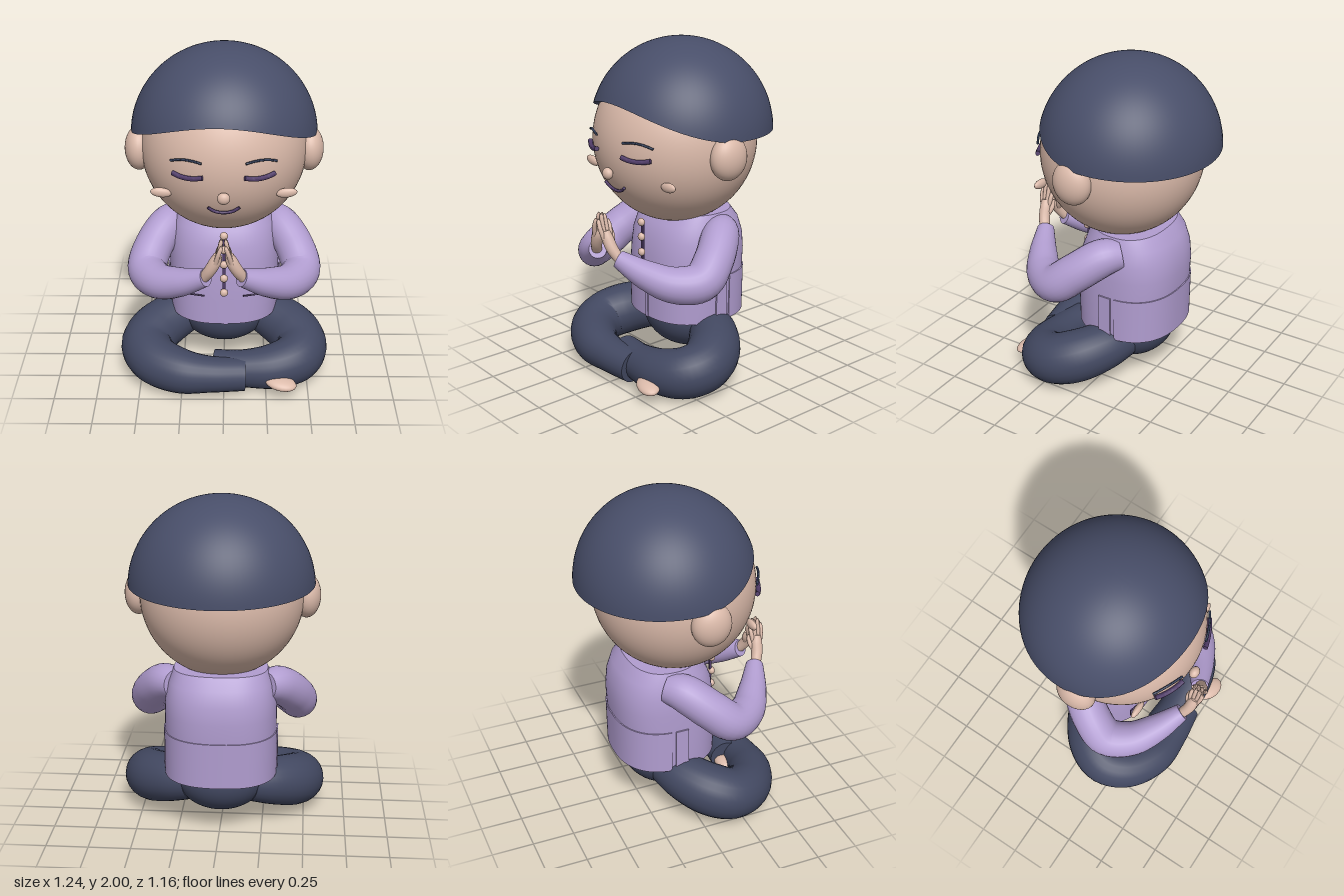
import * as THREE from 'three';
import { toCreasedNormals } from 'three/addons/utils/BufferGeometryUtils.js';

const mat = (name, color, side = THREE.FrontSide) => {
  const m = new THREE.MeshStandardMaterial({ color, side });
  m.name = name;
  return m;
};
const V = (x, y, z) => new THREE.Vector3(x, y, z);

// Skin a list of equal-length rings; closed lofts get end caps.
function loft(rings, closed = true) {
  const n = rings[0].length, pos = [], idx = [];
  rings.forEach(r => r.forEach(p => pos.push(p.x, p.y, p.z)));
  for (let i = 0; i < rings.length - 1; i++) {
    for (let j = 0; j < (closed ? n : n - 1); j++) {
      const k = (j + 1) % n, a = i * n + j, b = i * n + k;
      idx.push(a, b, b + n, a, b + n, a + n);
    }
  }
  if (closed) {
    [0, rings.length - 1].forEach((i, end) => {
      const c = rings[i].reduce((s, p) => s.add(p), V(0, 0, 0)).divideScalar(n);
      const ci = pos.length / 3;
      pos.push(c.x, c.y, c.z);
      for (let j = 0; j < n; j++) {
        const a = i * n + j, b = i * n + (j + 1) % n;
        end ? idx.push(ci, a, b) : idx.push(ci, b, a);
      }
    });
  }
  const g = new THREE.BufferGeometry();
  g.setAttribute('position', new THREE.Float32BufferAttribute(pos, 3));
  g.setIndex(idx);
  return toCreasedNormals(g, 0.9);
}

// Tube through points [x, y, z, radius].
function limb(points, steps = 32, sides = 24) {
  const curve = new THREE.CatmullRomCurve3(points.map(p => V(p[0], p[1], p[2])));
  const radius = new THREE.CatmullRomCurve3(points.map(p => V(p[3], 0, 0)), false, 'catmullrom');
  const frames = curve.computeFrenetFrames(steps);
  const rings = [];
  for (let i = 0; i <= steps; i++) {
    const t = curve.getUtoTmapping(i / steps), c = curve.getPoint(t), r = radius.getPoint(t).x;
    rings.push(Array.from({ length: sides }, (_, j) => {
      const a = j / sides * Math.PI * 2;
      return c.clone().addScaledVector(frames.normals[i], Math.cos(a) * r)
        .addScaledVector(frames.binormals[i], Math.sin(a) * r);
    }));
  }
  return loft(rings);
}

const HEAD = { y: 1.42, rx: 0.48, ry: 0.49, rz: 0.475 };
const faceZ = (x, y) =>
  HEAD.rz * Math.sqrt(1 - (x / HEAD.rx) ** 2 - ((y - HEAD.y) / HEAD.ry) ** 2);

export function createModel() {
  const root = new THREE.Group();
  root.name = 'meditatingFigure';
  const skin = mat('skin', 0xdbbaaa);
  const hair = mat('hair navy', 0x484e69);
  const trousers = mat('trouser navy', 0x424861);
  const shirt = mat('shirt lavender', 0xb19dd0, THREE.DoubleSide);
  const plum = mat('plum trim', 0x503c68);
  const browNavy = mat('brow navy', 0x35415c);

  const add = (name, geo, material, parent = root) => {
    const m = new THREE.Mesh(geo, material);
    m.name = name;
    parent.add(m);
    return m;
  };
  const ball = (name, p, r, material, seg = 32) => {
    const m = add(name, new THREE.SphereGeometry(1, seg, seg * 0.75), material);
    m.position.set(...p);
    m.scale.set(...r);
    return m;
  };
  const box = (name, size, p, material) => {
    const m = add(name, new THREE.BoxGeometry(...size), material);
    m.position.set(...p);
    return m;
  };
  const bar = (name, a, b, r, material) => add(name, limb([[...a, r], [...b, r]], 2, 8), material);

  // Head
  ball('head', [0, HEAD.y, 0], [HEAD.rx, HEAD.ry, HEAD.rz], skin, 64);
  ball('nose', [0, 1.29, 0.487], [0.036, 0.034, 0.028], skin, 20);

  // Cap of hair with a swept fringe
  const hairRings = [];
  for (let i = 0; i <= 28; i++) {
    hairRings.push(Array.from({ length: 72 }, (_, j) => {
      const a = j / 72 * Math.PI * 2, c = Math.cos(a + 0.05);
      const rim = 1.497 + 0.022 * c + 0.155 * Math.max(0, c) ** 2;
      const low = Math.asin((rim - 1.47) / 0.53);
      const lat = low + (Math.PI / 2 - 0.015 - low) * i / 28;
      const r = Math.cos(lat);
      return V(0.54 * r * Math.sin(a), 1.47 + 0.53 * Math.sin(lat), -0.05 + 0.525 * r * Math.cos(a));
    }));
  }
  add('hair', loft(hairRings), hair);

  // Face lines follow the head surface
  const faceLine = (name, pts, r, material) =>
    add(name, limb(pts.map(([x, y]) => [x, y, faceZ(x, y) + 0.016, r]), 16, 10), material);
  faceLine('mouth', [[-0.087, 1.215], [-0.05, 1.19], [0, 1.18], [0.05, 1.19], [0.087, 1.215]], 0.009, plum);

  // Shirt body from rounded cross-sections: y, half width, centre z, half depth
  const section = (a, [y, rx, zc, rz]) => {
    const s = Math.sin(a), c = Math.cos(a), e = 0.82;
    return V(rx * Math.sign(s) * Math.abs(s) ** e, y, zc + rz * Math.sign(c) * Math.abs(c) ** e);
  };
  const torso = [[0.35, 0.325, -0.085, 0.305], [0.5, 0.33, -0.085, 0.305], [0.63, 0.33, -0.088, 0.307],
    [0.74, 0.33, -0.095, 0.305], [0.84, 0.325, -0.098, 0.292], [0.93, 0.305, -0.1, 0.26], [1.0, 0.275, -0.1, 0.205]];
  add('shirtBody', loft(torso.map(t =>
    Array.from({ length: 64 }, (_, j) => section(j / 64 * Math.PI * 2, t)))), shirt);
  const backPanel = [[0.35, 0.335, -0.086, 0.311], [0.625, 0.336, -0.088, 0.313]];
  add('backPanel', loft(backPanel.map(t =>
    Array.from({ length: 49 }, (_, j) => section(Math.PI * (0.54 + 0.92 * j / 48), t)), false), shirt), shirt);
  box('frontOverlap', [0.02, 0.23, 0.008], [0.01, 0.465, 0.222], shirt);
  box('buttonBand', [0.018, 0.39, 0.012], [0, 0.76, 0.243], plum);
  [0.58, 0.675, 0.765, 0.86, 0.95].forEach(y =>
    ball('button', [0, y, 0.253], [0.024, 0.024, 0.02], skin, 16));

  // Hips
  ball('hips', [0, 0.32, -0.09], [0.28, 0.22, 0.245], trousers, 40);

  // Mirrored parts
  for (const s of [1, -1]) {
    const side = s > 0 ? 'left' : 'right';
    ball(side + 'Ear', [s * 0.49, 1.405, 0.022], [0.083, 0.13, 0.117], skin);
    const cheek = ball(side + 'Cheek', [s * 0.35, 1.26, 0.335], [0.06, 0.028, 0.02], skin, 20);
    cheek.rotation.z = s * 0.12;
    faceLine(side + 'ClosedEye',
      [[0.115, 1.407], [0.16, 1.397], [0.2, 1.394], [0.24, 1.397], [0.28, 1.407]].map(([x, y]) => [s * x, y]), 0.014, plum);
    faceLine(side + 'Eyebrow',
      [[0.12, 1.488], [0.165, 1.496], [0.21, 1.497], [0.25, 1.49], [0.29, 1.475]].map(([x, y]) => [s * x, y]), 0.007, browNavy);

    // Sleeve from shoulder through elbow to wrist
    add(side + 'Sleeve', limb([[s * 0.26, 0.9, -0.15, 0.085], [s * 0.33, 0.885, -0.07, 0.11],
      [s * 0.42, 0.79, 0.06, 0.115], [s * 0.452, 0.7, 0.18, 0.115], [s * 0.38, 0.69, 0.31, 0.105],
      [s * 0.25, 0.735, 0.41, 0.085], [s * 0.1, 0.81, 0.495, 0.052]], 40), shirt);

    // Praying hand: wrist, palm, four fingers and thumb
    add(side + 'Palm', limb([[s * 0.11, 0.81, 0.495, 0.03], [s * 0.075, 0.87, 0.52, 0.034],
      [s * 0.045, 0.93, 0.53, 0.034], [s * 0.032, 0.97, 0.535, 0.024]], 14, 16), skin);
    [[0.5, 1.03], [0.523, 1.065], [0.546, 1.072], [0.567, 1.04]].forEach(([z, top]) => {
      add(side + 'Finger', limb([[s * 0.045, 0.925, 0.53 + (z - 0.53) * 0.6, 0.014], [s * 0.027, 0.99, z, 0.013],
        [s * 0.013, top - 0.012, z, 0.011], [s * 0.011, top, z, 0.005]], 10, 10), skin);
    });
    add(side + 'Thumb', limb([[s * 0.06, 0.88, 0.51, 0.016], [s * 0.035, 0.93, 0.488, 0.015],
      [s * 0.018, 0.975, 0.485, 0.008]], 8, 10), skin);

    // Pocket outline
    bar(side + 'PocketTop', [s * 0.105, 0.63, 0.238], [s * 0.222, 0.642, 0.208], 0.006, plum);
    bar(side + 'PocketBottom', [s * 0.115, 0.55, 0.238], [s * 0.22, 0.55, 0.208], 0.005, plum);
    bar(side + 'PocketSide', [s * 0.22, 0.55, 0.208], [s * 0.22, 0.64, 0.208], 0.004, plum);
    box(side + 'SideSlit', [0.009, 0.275, 0.08], [s * 0.334, 0.4875, -0.08], shirt);
  }

  // Crossed legs: the right shin lies in front of the left one
  const thigh = s => [[s * 0.17, 0.28, -0.12, 0.12], [s * 0.3, 0.255, -0.05, 0.145],
    [s * 0.42, 0.215, 0.06, 0.158], [s * 0.468, 0.18, 0.18, 0.155]];
  add('rightLeg', limb([...thigh(-1), [-0.41, 0.155, 0.31, 0.148], [-0.25, 0.138, 0.41, 0.132],
    [-0.08, 0.13, 0.43, 0.108], [0.12, 0.12, 0.41, 0.1]], 48), trousers);
  add('leftLeg', limb([...thigh(1), [0.43, 0.155, 0.28, 0.15], [0.3, 0.135, 0.345, 0.135],
    [0.12, 0.128, 0.36, 0.112], [-0.06, 0.13, 0.34, 0.1]], 48), trousers);
  const foot = ball('rightFoot', [0.335, 0.1, 0.475], [0.095, 0.032, 0.062], skin, 24);
  foot.rotation.set(0.15, -0.3, -0.08);
  ball('leftFoot', [-0.08, 0.11, 0.31], [0.08, 0.035, 0.05], skin, 24);

  return root;
}
